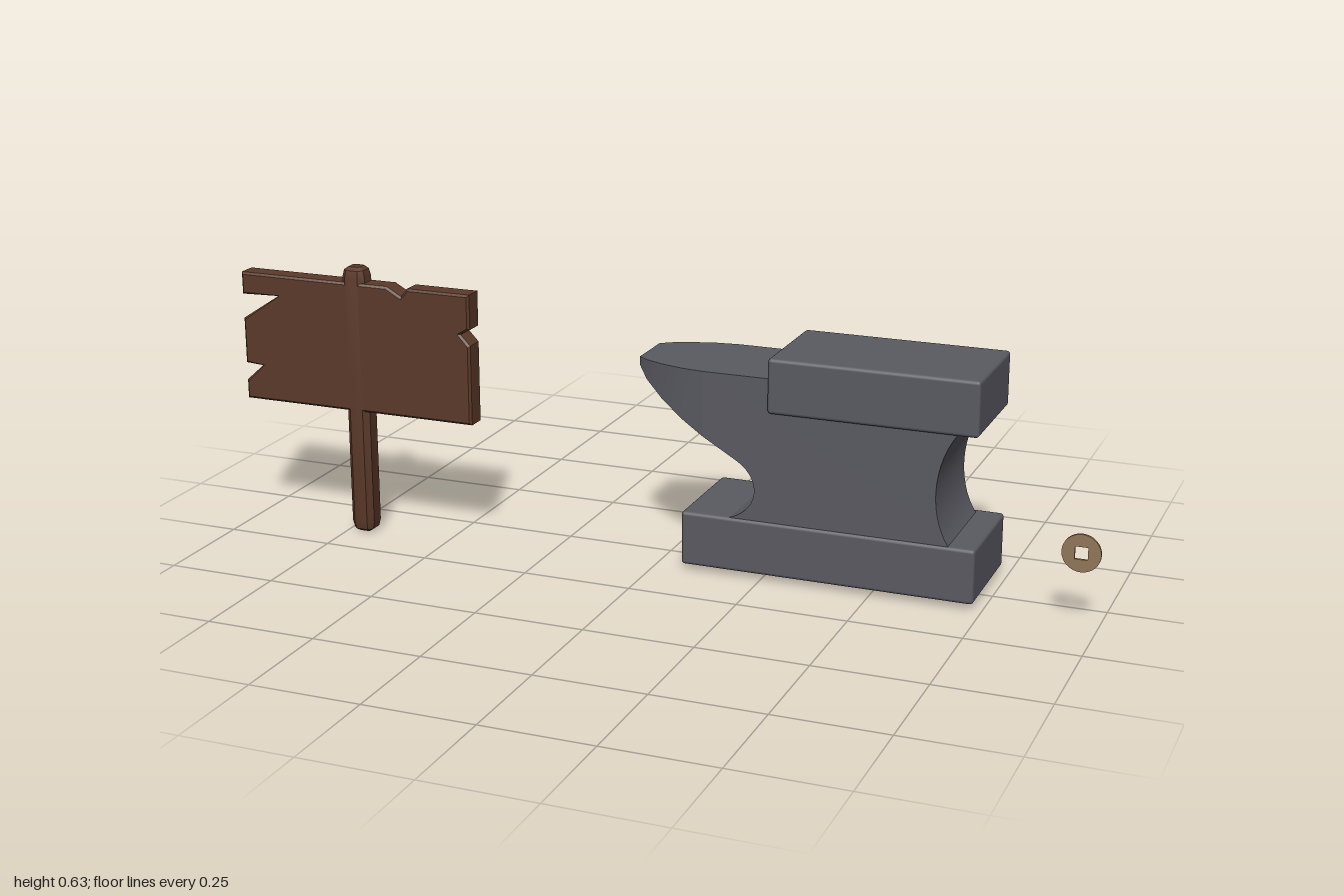
import * as THREE from 'three';
import { toCreasedNormals } from 'three/addons/utils/BufferGeometryUtils.js';
import { RoundedBoxGeometry } from 'three/addons/geometries/RoundedBoxGeometry.js';

const material = (name, color) => {
  const m = new THREE.MeshStandardMaterial({ color });
  m.name = name;
  return m;
};

const shapeOf = (pts) => new THREE.Shape(pts.map(([x, y]) => new THREE.Vector2(x, y)));

export function createModel() {
  const model = new THREE.Group();
  const iron = material('dark iron', 0x5a5a62);
  const wood = material('brown wood', 0x5c3a2a);
  const bronze = material('old bronze', 0x927759);

  const add = (parent, name, geometry, mat) => {
    const mesh = new THREE.Mesh(geometry, mat);
    mesh.name = name;
    parent.add(mesh);
    return mesh;
  };
  const group = (name) => {
    const g = new THREE.Group();
    g.name = name;
    model.add(g);
    return g;
  };

  // Signboard: broken plank outline with chamfered edges
  const sign = group('signpost');
  const b = 0.005;
  const board = shapeOf([
    [-0.995, 0.3], [-0.425, 0.3], [-0.425, 0.478], [-0.45, 0.505], [-0.425, 0.52],
    [-0.425, 0.592], [-0.571, 0.592], [-0.586, 0.573], [-0.592, 0.573], [-0.626, 0.592],
    [-0.995, 0.592], [-0.995, 0.55], [-0.9, 0.55], [-0.995, 0.485],
    [-0.995, 0.385], [-0.95, 0.38], [-0.995, 0.337],
  ]);
  const boardGeo = new THREE.ExtrudeGeometry(board, {
    depth: 0.042, bevelEnabled: true, bevelSize: b, bevelThickness: b, bevelSegments: 1,
  });
  add(sign, 'board', toCreasedNormals(boardGeo, 0.5), wood).position.z = 0.11;

  // Post: chamfered square section with tapered ends
  const h = 0.014, k = 0.01;
  const section = shapeOf([
    [h, -k], [h, k], [k, h], [-k, h], [-h, k], [-h, -k], [-k, -h], [k, -h],
  ]);
  const postGeo = new THREE.ExtrudeGeometry(section, {
    depth: 0.584, bevelEnabled: true, bevelSize: 0.014, bevelThickness: 0.024, bevelSegments: 2,
  });
  postGeo.rotateX(-Math.PI / 2);
  add(sign, 'post', toCreasedNormals(postGeo, 0.4), wood).position.set(-0.713, 0.024, 0.129);

  // Anvil base and face blocks
  const anvil = group('anvil');
  add(anvil, 'anvilBase', new RoundedBoxGeometry(0.667, 0.124, 0.258, 2, 0.008), iron)
    .position.set(0.398, 0.076, -0.026);
  add(anvil, 'anvilFace', new RoundedBoxGeometry(0.467, 0.124, 0.258, 2, 0.008), iron)
    .position.set(0.498, 0.451, -0.019);

  // Waisted body with curved throat and heel
  const body = new THREE.Shape();
  body.moveTo(0.113, 0.465);
  body.lineTo(0.113, 0.317);
  body.lineTo(0.19, 0.272);
  body.bezierCurveTo(0.255, 0.235, 0.245, 0.16, 0.178, 0.138);
  body.lineTo(0.178, 0.1);
  body.lineTo(0.672, 0.1);
  body.lineTo(0.672, 0.138);
  body.bezierCurveTo(0.63, 0.2, 0.628, 0.31, 0.685, 0.39);
  body.lineTo(0.685, 0.465);
  const bodyGeo = new THREE.ExtrudeGeometry(body, { depth: 0.232, bevelEnabled: false, curveSegments: 14 });
  add(anvil, 'anvilBody', toCreasedNormals(bodyGeo, 0.5), iron).position.z = -0.134;

  // Horn: stations of x, underside height and half width, narrowing to the tip
  const stations = [
    [-0.058, 0.446, 0.058], [-0.035, 0.42, 0.075], [0.008, 0.386, 0.094],
    [0.06, 0.35, 0.109], [0.113, 0.317, 0.116],
  ];
  const n = stations.length - 1;
  const hornGeo = new THREE.BoxGeometry(n, 1, 1, n, 1, 1);
  const p = hornGeo.attributes.position;
  for (let i = 0; i < p.count; i++) {
    const [x, low, half] = stations[Math.round(p.getX(i) + n / 2)];
    p.setXYZ(i, x, p.getY(i) > 0 ? 0.465 : low, -0.018 + Math.sign(p.getZ(i)) * half);
  }
  add(anvil, 'horn', toCreasedNormals(hornGeo, 0.6), iron);

  // Coin with a square hole
  const disc = new THREE.Shape().absarc(0, 0, 0.042, 0, Math.PI * 2, false);
  const r = 0.014;
  disc.holes.push(new THREE.Path([[-r, -r], [-r, r], [r, r], [r, -r]].map(([x, y]) => new THREE.Vector2(x, y))));
  const coinGeo = new THREE.ExtrudeGeometry(disc, { depth: 0.006, bevelEnabled: false, curveSegments: 16 });
  add(model, 'coin', toCreasedNormals(coinGeo, 0.5), bronze).position.set(0.957, 0.164, 0.094);

  return model;
}
